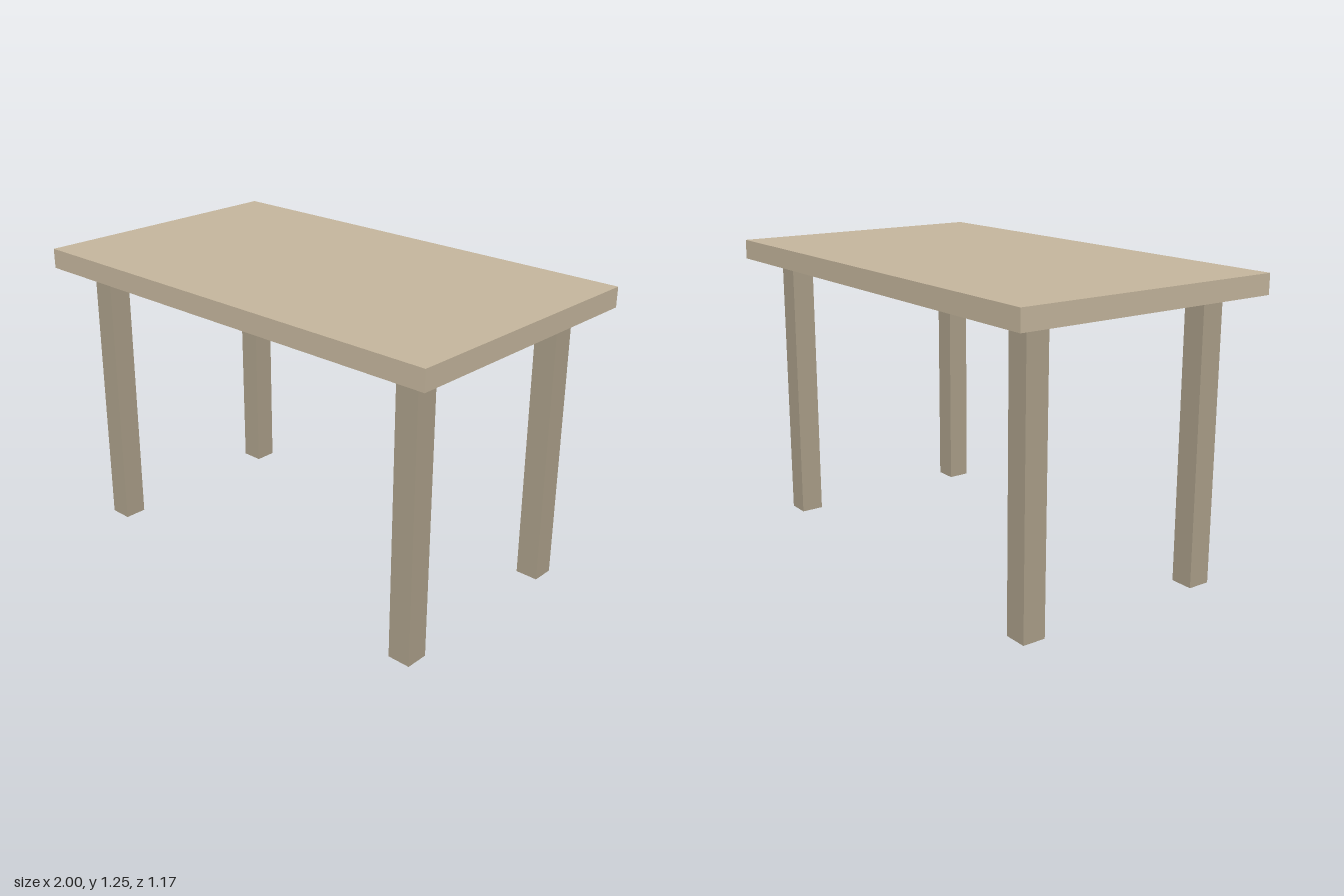
import * as THREE from 'three';

export function createModel() {
  const table = new THREE.Group();
  table.name = 'table';

  const topMaterial = new THREE.MeshStandardMaterial({ color: 0xc6b79e });
  const legMaterial = new THREE.MeshStandardMaterial({ color: 0xada18b });

  const legHeight = 1.167, legWidth = 0.097, topThickness = 0.083;

  // Flat rectangular slab resting on the legs
  const top = new THREE.Mesh(new THREE.BoxGeometry(2, topThickness, 1.167), topMaterial);
  top.name = 'tableTop';
  top.position.y = legHeight + topThickness / 2;
  table.add(top);

  // Four square legs, inset from the corners
  const legGeometry = new THREE.BoxGeometry(legWidth, legHeight, legWidth);
  for (const [zName, z] of [['front', 1], ['back', -1]]) {
    for (const [xName, x] of [['Left', 1], ['Right', -1]]) {
      const leg = new THREE.Mesh(legGeometry, legMaterial);
      leg.name = `${zName}${xName}Leg`;
      leg.position.set(x * 0.833, legHeight / 2, z * 0.417);
      table.add(leg);
    }
  }

  return table;
}
